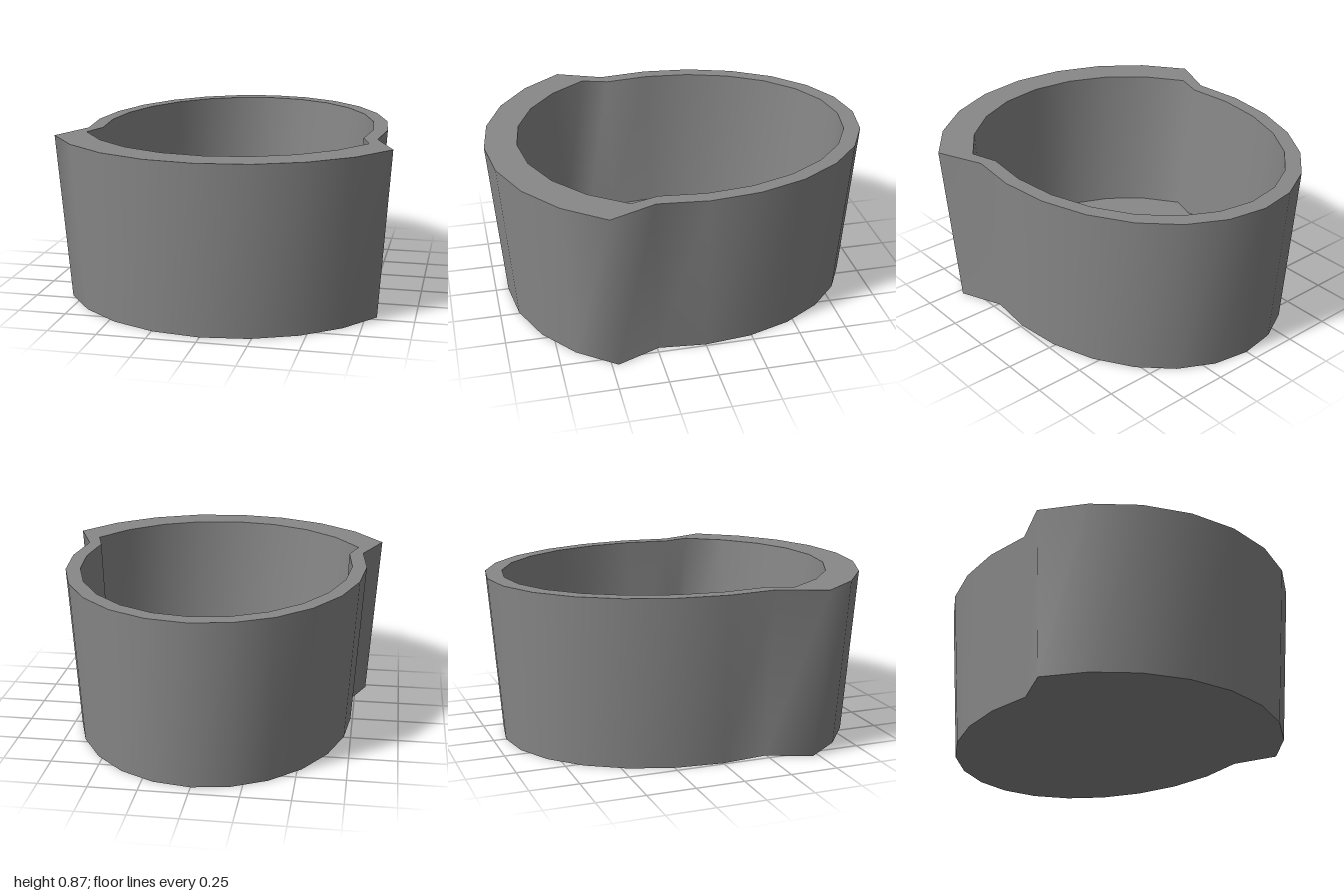
import * as THREE from 'three';
import { toCreasedNormals } from 'three/addons/utils/BufferGeometryUtils.js';

const SEGMENTS = 24;
const HEIGHT = 0.873;
const FLOOR = 0.08;

// Egg-shaped outline: narrow back ellipse, wider front arc with a step at each side.
function outline(y, scale, backX, frontX, radiusZ, frontShift) {
  const ring = [];
  for (let i = 0; i < SEGMENTS; i++) {
    const a = (i / SEGMENTS) * Math.PI * 2;
    const front = Math.sin(a) > 0.49;
    const x = Math.cos(a) * (front ? frontX : backX);
    const z = Math.sin(a) * radiusZ - (front ? frontShift : 0);
    ring.push([x * scale, y, z * scale]);
  }
  return ring;
}

const outer = (y, scale) => outline(y, scale, 0.793, 1, 1, 0);
const inner = (y, scale) => outline(y, scale, 0.717, 0.85, 0.912, 0.081);

// Joins successive rings with quads; scale 0 rings close the ends as fans.
function loft(rings) {
  const positions = [];
  for (let r = 0; r < rings.length - 1; r++) {
    const lo = rings[r], hi = rings[r + 1];
    for (let i = 0; i < SEGMENTS; i++) {
      const j = (i + 1) % SEGMENTS;
      if (r > 0) positions.push(...lo[i], ...hi[i], ...lo[j]);
      if (r < rings.length - 2) positions.push(...hi[i], ...hi[j], ...lo[j]);
    }
  }
  const geometry = new THREE.BufferGeometry();
  geometry.setAttribute('position', new THREE.Float32BufferAttribute(positions, 3));
  return toCreasedNormals(geometry, 1.2);
}

export function createModel() {
  const group = new THREE.Group();
  group.name = 'steppedOvalCup';

  // Underside, tapered wall, flat rim, inner wall and floor
  const cup = new THREE.Mesh(
    loft([
      outer(0, 0),
      outer(0, 0.933),
      outer(HEIGHT, 1),
      inner(HEIGHT, 1),
      inner(FLOOR, 0.951),
      inner(FLOOR, 0),
    ]),
    new THREE.MeshStandardMaterial({ color: 0x888888 })
  );
  cup.name = 'cup';
  group.add(cup);
  return group;
}
